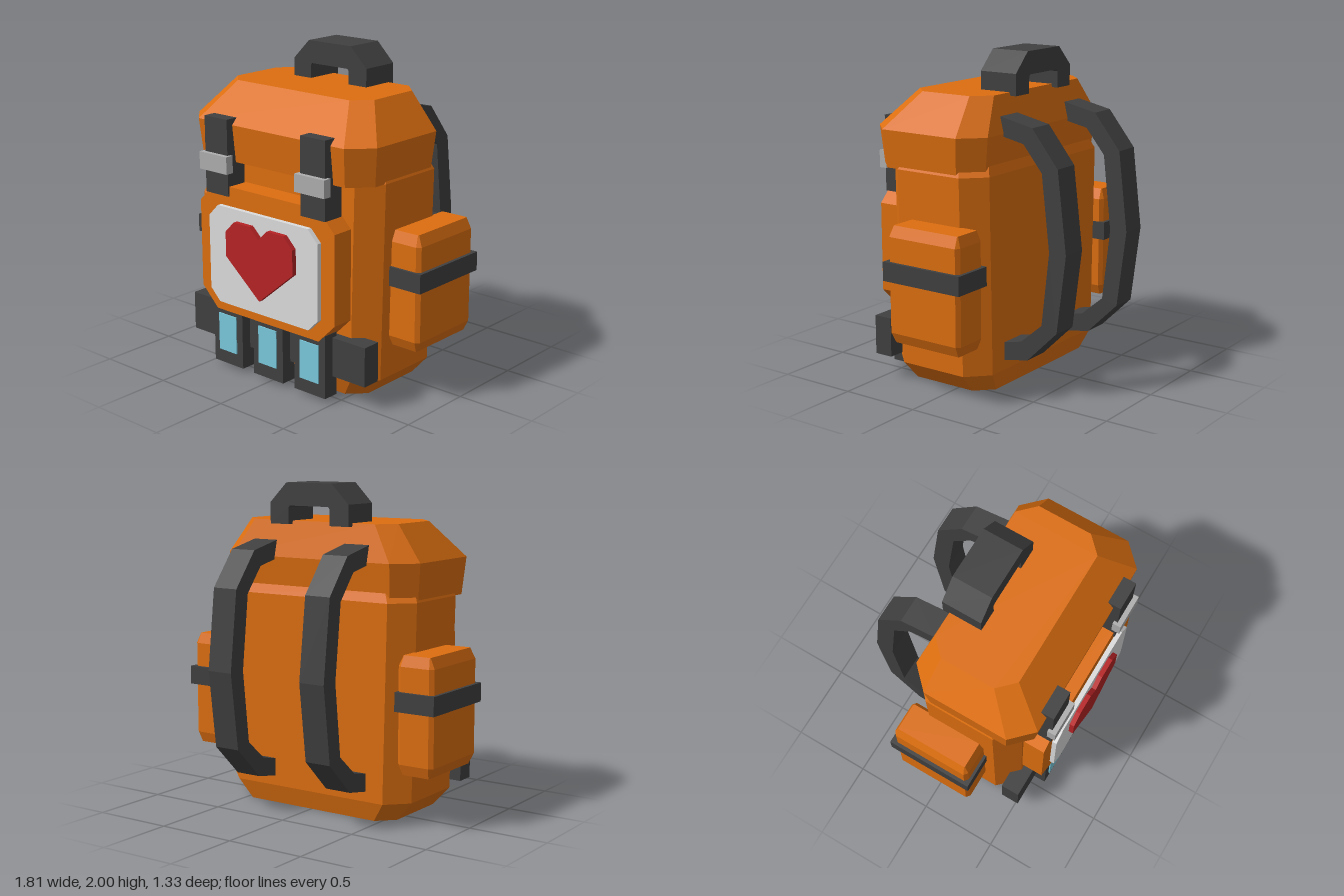
import * as THREE from 'three';

const mat = (name, color) => {
  const m = new THREE.MeshStandardMaterial({ color });
  m.name = name;
  return m;
};

// Faceted solid from stacked chamfered rings: [y, halfWidth, zBack, zFront, chamferX, chamferZ]
function loft(rings) {
  const loops = rings.map(([y, w, b, f, cx, cz]) => [
    [w - cx, y, f], [w, y, f - cz], [w, y, b + cz], [w - cx, y, b],
    [cx - w, y, b], [-w, y, b + cz], [-w, y, f - cz], [cx - w, y, f],
  ]);
  const pos = [];
  const tri = (a, b, c) => pos.push(...a, ...b, ...c);
  for (let r = 0; r < loops.length - 1; r++) {
    const lo = loops[r], hi = loops[r + 1];
    for (let i = 0; i < 8; i++) {
      const j = (i + 1) % 8;
      tri(lo[i], hi[j], lo[j]);
      tri(lo[i], hi[i], hi[j]);
    }
  }
  const first = loops[0], last = loops[loops.length - 1];
  for (let i = 1; i < 7; i++) {
    tri(first[0], first[i], first[i + 1]);
    tri(last[0], last[i + 1], last[i]);
  }
  // rings run clockwise seen from above, so flip every triangle outward if needed
  const g = new THREE.BufferGeometry();
  const p = [];
  for (let i = 0; i < pos.length; i += 9) {
    p.push(...pos.slice(i, i + 3), ...pos.slice(i + 6, i + 9), ...pos.slice(i + 3, i + 6));
  }
  g.setAttribute('position', new THREE.Float32BufferAttribute(p, 3));
  g.computeVertexNormals();
  return g;
}

const box = (x0, x1, y0, y1, z0, z1) =>
  new THREE.BoxGeometry(x1 - x0, y1 - y0, z1 - z0)
    .translate((x0 + x1) / 2, (y0 + y1) / 2, (z0 + z1) / 2);

// Flat outline in XY pushed from z0 to z1
const slab = (points, z0, z1) =>
  new THREE.ExtrudeGeometry(new THREE.Shape(points.map((p) => new THREE.Vector2(...p))),
    { depth: z1 - z0, bevelEnabled: false }).translate(0, 0, z0);

// Rectangle outline with cut corners
const cutRect = (w, y0, y1, c) => [
  [c - w, y0], [w - c, y0], [w, y0 + c], [w, y1 - c],
  [w - c, y1], [c - w, y1], [-w, y1 - c], [-w, y0 + c],
];

export function createModel() {
  const orange = mat('orange canvas', 0xdc6e10);
  const dark = mat('dark webbing', 0x404040);
  const pale = mat('pale patch', 0xdcdcdc);
  const grey = mat('grey buckle', 0xaeaeae);
  const red = mat('red', 0xb62325);
  const blue = mat('light blue', 0x7ac8dc);

  const model = new THREE.Group();
  model.name = 'backpack';
  const add = (name, geometry, material) => {
    const mesh = new THREE.Mesh(geometry, material);
    mesh.name = name;
    model.add(mesh);
    return mesh;
  };

  // Main bag and overhanging lid
  add('body', loft([
    [0, 0.56, -0.2, 0.42, 0.1, 0.1],
    [0.12, 0.665, -0.235, 0.465, 0.125, 0.125],
    [1.32, 0.69, -0.235, 0.465, 0.125, 0.125],
    [1.38, 0.66, -0.21, 0.44, 0.125, 0.125],
  ]), orange);
  add('lid', loft([
    [1.32, 0.682, -0.205, 0.545, 0.12, 0.12],
    [1.55, 0.705, -0.232, 0.57, 0.13, 0.13],
    [1.77, 0.54, -0.178, 0.365, 0.1, 0.1],
  ]), orange);

  // Front pocket with heart patch
  add('frontPocket', slab(cutRect(0.54, 0.38, 1.18, 0.125), 0.45, 0.605), orange);
  add('patch', slab(cutRect(0.437, 0.445, 1.06, 0.075), 0.6, 0.635), pale);
  add('heart', slab([
    [0, 0.54], [0.27, 0.765], [0.27, 0.92], [0.2, 0.99], [0.07, 0.99], [0, 0.925],
    [-0.07, 0.99], [-0.2, 0.99], [-0.27, 0.92], [-0.27, 0.765],
  ], 0.63, 0.665), red);

  // Carry handle
  add('handle', slab([
    [0.285, 1.75], [0.285, 1.88], [0.165, 2], [-0.165, 2], [-0.285, 1.88], [-0.285, 1.75],
    [-0.15, 1.75], [-0.15, 1.85], [-0.14, 1.862], [0.14, 1.862], [0.15, 1.85], [0.15, 1.75],
  ], -0.222, 0.03), dark);

  // Belt with three pouches
  add('belt', box(-0.702, 0.702, 0.15, 0.393, 0.41, 0.53), dark);
  for (const x of [-0.336, 0, 0.336]) {
    add('beltPouch', box(x - 0.121, x + 0.121, 0.025, 0.42, 0.495, 0.595), dark);
    add('pouchWindow', box(x - 0.073, x + 0.073, 0.11, 0.35, 0.594, 0.603), blue);
  }

  // Shoulder strap outline as [distance behind, height]
  const strapOutline = [
    [0.2, 1.652], [0.43, 1.603], [0.605, 1.385], [0.665, 0.89], [0.605, 0.415], [0.4, 0.212],
    [0.2, 0.176], [0.2, 0.285], [0.355, 0.32], [0.5, 0.445], [0.55, 0.89], [0.497, 1.35],
    [0.37, 1.505], [0.2, 1.54],
  ].reverse();

  for (const s of [-1, 1]) {
    const side = s > 0 ? 'left' : 'right';

    // Lid straps and buckles
    add(side + 'LidStrap', box(-0.093, 0.093, 1.12, 1.59, 0.475, 0.615), dark).position.x = s * 0.384;
    add(side + 'Buckle', box(-0.113, 0.113, 1.265, 1.372, 0.592, 0.645), grey).position.x = s * 0.384;

    // Shoulder strap, outline turned to face sideways
    add(side + 'ShoulderStrap', slab(strapOutline, -0.085, 0.085).rotateY(Math.PI / 2),
      dark).position.x = s * 0.335;

    // Side pocket with bevelled top and bottom, and its band
    add(side + 'SidePocket', loft([
      [0.32, 0.09, -0.225, 0.242, 0.004, 0.004],
      [0.385, 0.12, -0.247, 0.27, 0.025, 0.02],
      [0.965, 0.12, -0.247, 0.27, 0.025, 0.02],
      [1.03, 0.09, -0.225, 0.242, 0.004, 0.004],
    ]), orange).position.x = s * 0.762;
    add(side + 'PocketBand', box(-0.132, 0.132, 0.7, 0.816, -0.268, 0.287), dark).position.x = s * 0.771;
  }
  return model;
}
